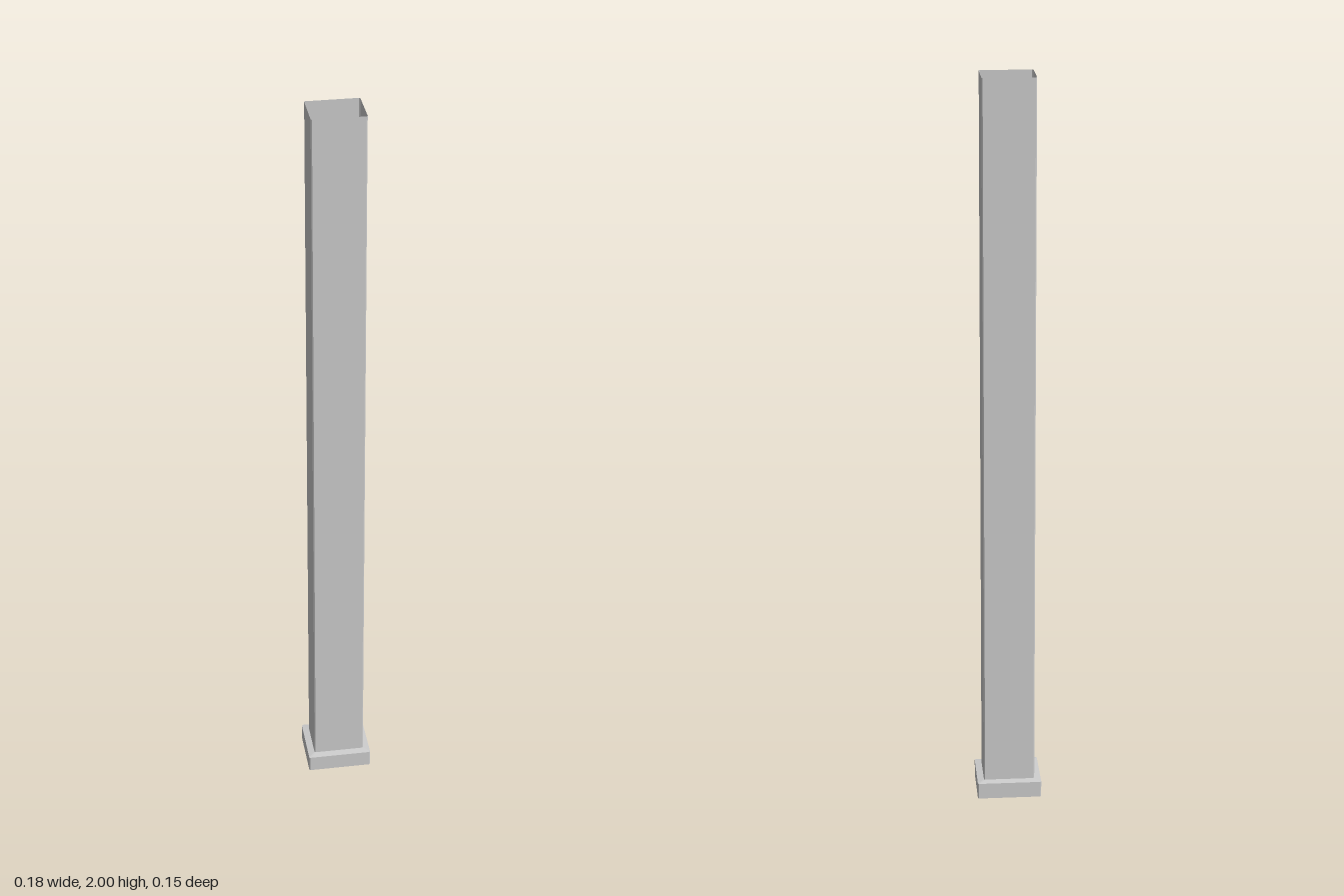
import * as THREE from 'three';

const material = new THREE.MeshStandardMaterial({ color: 0xcccccc, flatShading: true, side: THREE.DoubleSide });

// Rectangle outline with slightly eased corners, counter-clockwise seen from above
function outline(halfX, halfZ, ease = 0.003) {
  const points = [];
  for (const [sx, sz] of [[1, 1], [1, -1], [-1, -1], [-1, 1]]) {
    const alongX = [sx * (halfX - ease), sz * halfZ];
    const alongZ = [sx * halfX, sz * (halfZ - ease)];
    points.push(...(sx * sz > 0 ? [alongX, alongZ] : [alongZ, alongX]));
  }
  return points;
}

// Open skin through a stack of rectangular sections [halfX, y, halfZ]
function skin(name, sections) {
  const positions = [];
  const rings = sections.map(([hx, y, hz]) => outline(hx, hz).map(([x, z]) => [x, y, z]));
  for (let s = 0; s < rings.length - 1; s++) {
    const low = rings[s], high = rings[s + 1];
    for (let i = 0; i < low.length; i++) {
      const j = (i + 1) % low.length;
      positions.push(...low[i], ...low[j], ...high[j], ...low[i], ...high[j], ...high[i]);
    }
  }
  const geometry = new THREE.BufferGeometry();
  geometry.setAttribute('position', new THREE.Float32BufferAttribute(positions, 3));
  geometry.computeVertexNormals();
  const mesh = new THREE.Mesh(geometry, material);
  mesh.name = name;
  return mesh;
}

export function createModel() {
  const group = new THREE.Group();
  group.name = 'hollowPost';

  // Thin-walled shaft, open at both ends
  group.add(skin('shaft', [[0.07, 0.048, 0.057], [0.07, 2, 0.057]]));

  // Base collar: outer wall, then a ledge in to the shaft; open underneath
  group.add(skin('baseCollar', [[0.088, 0, 0.076], [0.088, 0.045, 0.076], [0.07, 0.048, 0.057]]));

  return group;
}
